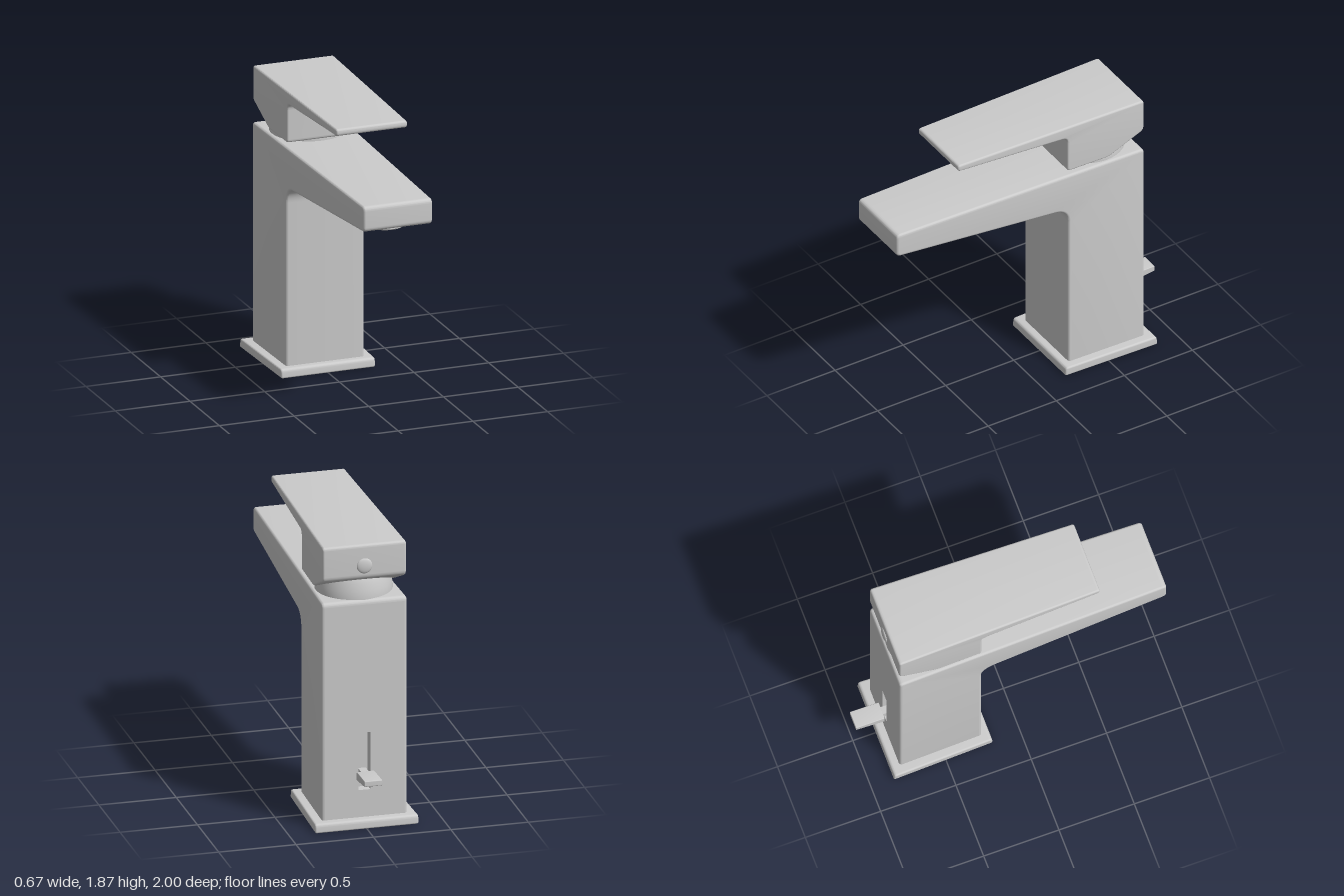
import * as THREE from 'three';
import { toCreasedNormals } from 'three/addons/utils/BufferGeometryUtils.js';

const material = new THREE.MeshStandardMaterial({ color: 0xcccccc });
const BACK = -0.79;

// Closed outline through [z, y, cornerRadius] points, corners rounded.
function roundedOutline(points) {
  const shape = new THREE.Shape();
  const n = points.length;
  points.forEach(([u, v, r], i) => {
    const p = new THREE.Vector2(u, v);
    const toward = ([a, b]) => new THREE.Vector2(a, b).sub(p).setLength(r).add(p);
    const a = toward(points[(i + n - 1) % n]);
    const b = toward(points[(i + 1) % n]);
    if (i === 0) shape.moveTo(a.x, a.y);
    else shape.lineTo(a.x, a.y);
    shape.quadraticCurveTo(u, v, b.x, b.y);
  });
  shape.closePath();
  return shape;
}

// Side profile extruded across x, with rounded long edges.
function slab(points, width, bevel) {
  const depth = width - 2 * bevel;
  const geo = new THREE.ExtrudeGeometry(roundedOutline(points), {
    depth, curveSegments: 12,
    bevelEnabled: true, bevelThickness: bevel, bevelSize: bevel, bevelOffset: -bevel, bevelSegments: 8,
  });
  return geo.translate(0, 0, -depth / 2).rotateY(-Math.PI / 2);
}

// Everything narrows gently toward the front.
function taper(geo) {
  const p = geo.attributes.position;
  for (let i = 0; i < p.count; i++) p.setX(i, p.getX(i) * (1 - 0.09 * (p.getZ(i) - BACK)));
  return toCreasedNormals(geo, 0.25);
}

// Drops the flat rear wall so a slotted panel can take its place.
function openBack(geo) {
  const src = geo.attributes.position;
  const kept = [];
  for (let i = 0; i < src.count; i += 3) {
    if ([0, 1, 2].every((k) => src.getZ(i + k) < BACK + 0.00005)) continue;
    for (let k = 0; k < 3; k++) kept.push(src.getX(i + k), src.getY(i + k), src.getZ(i + k));
  }
  const out = new THREE.BufferGeometry();
  out.setAttribute('position', new THREE.Float32BufferAttribute(kept, 3));
  return out;
}

function rectangle(path, x0, y0, x1, y1) {
  path.moveTo(x0, y0);
  path.lineTo(x1, y0);
  path.lineTo(x1, y1);
  path.lineTo(x0, y1);
  path.closePath();
  return path;
}

function lathe(points) {
  const geo = new THREE.LatheGeometry(points.map(([r, y]) => new THREE.Vector2(r, y)), 64);
  return toCreasedNormals(geo, 0.5);
}

export function createModel() {
  const group = new THREE.Group();
  const add = (name, geo) => {
    const mesh = new THREE.Mesh(geo, material);
    mesh.name = name;
    group.add(mesh);
    return mesh;
  };

  // Base flange
  add('baseFlange', taper(slab([
    [-0.85, 0, 0.012], [-0.185, 0, 0.012], [-0.19, 0.06, 0.022], [-0.845, 0.06, 0.022],
  ], 0.665, 0.012)));

  // Column and spout in one piece
  const edge = 0.018;
  add('columnAndSpout', taper(openBack(slab([
    [BACK, 0.02, 0.03], [-0.24, 0.02, 0.03], [-0.24, 1.233, 0.1], [1, 1.335, 0.03],
    [1, 1.5, 0.03], [BACK, 1.5, 0.03],
  ], 0.55, edge))));

  // Rear panel with the slot for the drain lever
  const half = 0.275 - edge;
  const panel = rectangle(new THREE.Shape(), -half, 0.05, half, 1.47);
  panel.holes.push(rectangle(new THREE.Path(), -0.038, 0.24, 0.038, 0.62));
  const panelGeo = new THREE.ExtrudeGeometry(panel, { depth: 0.07, bevelEnabled: false });
  add('rearPanel', taper(panelGeo.translate(0, 0, BACK)));
  add('slotFloor', new THREE.BoxGeometry(0.12, 0.44, 0.02).translate(0, 0.43, BACK + 0.075));

  // Drain lever: stem and flared tab
  add('drainLeverStem', new THREE.BoxGeometry(0.05, 0.045, 0.1).translate(0, 0.34, BACK + 0.03));
  add('drainLeverTab', taper(slab([
    [-0.808, 0.313, 0.006], [-1, 0.338, 0.006], [-1, 0.375, 0.006], [-0.808, 0.37, 0.006],
  ], 0.113, 0.004)));

  // Cartridge collar under the handle
  add('collar', lathe([
    [0.245, 1.49], [0.245, 1.51], [0.24, 1.55], [0.228, 1.6], [0.21, 1.65], [0.17, 1.69], [0, 1.7],
  ])).position.z = -0.53;

  // Handle block with its flat lever
  add('handle', taper(slab([
    [BACK, 1.87, 0.021], [0.555, 1.87, 0.02], [0.555, 1.825, 0.02], [-0.237, 1.786, 0.04],
    [-0.237, 1.53, 0.021], [-0.535, 1.53, 0.03], [BACK, 1.645, 0.03],
  ], 0.54, 0.014)));

  // Domed cap at the back of the handle
  const cap = add('handleCap', new THREE.SphereGeometry(0.05, 32, 16));
  cap.scale.z = 0.3;
  cap.position.set(0, 1.73, BACK);

  // Aerator: flange, ring and recessed face, square to the spout underside
  const aerator = add('aerator', lathe([
    [0, -0.022], [0.082, -0.022], [0.086, -0.034], [0.1, -0.034], [0.112, -0.026],
    [0.112, -0.003], [0.14, -0.003], [0.142, 0.01],
  ]));
  aerator.position.set(0, 1.319, 0.8);
  aerator.rotation.x = -Math.atan(0.082);

  return group;
}
